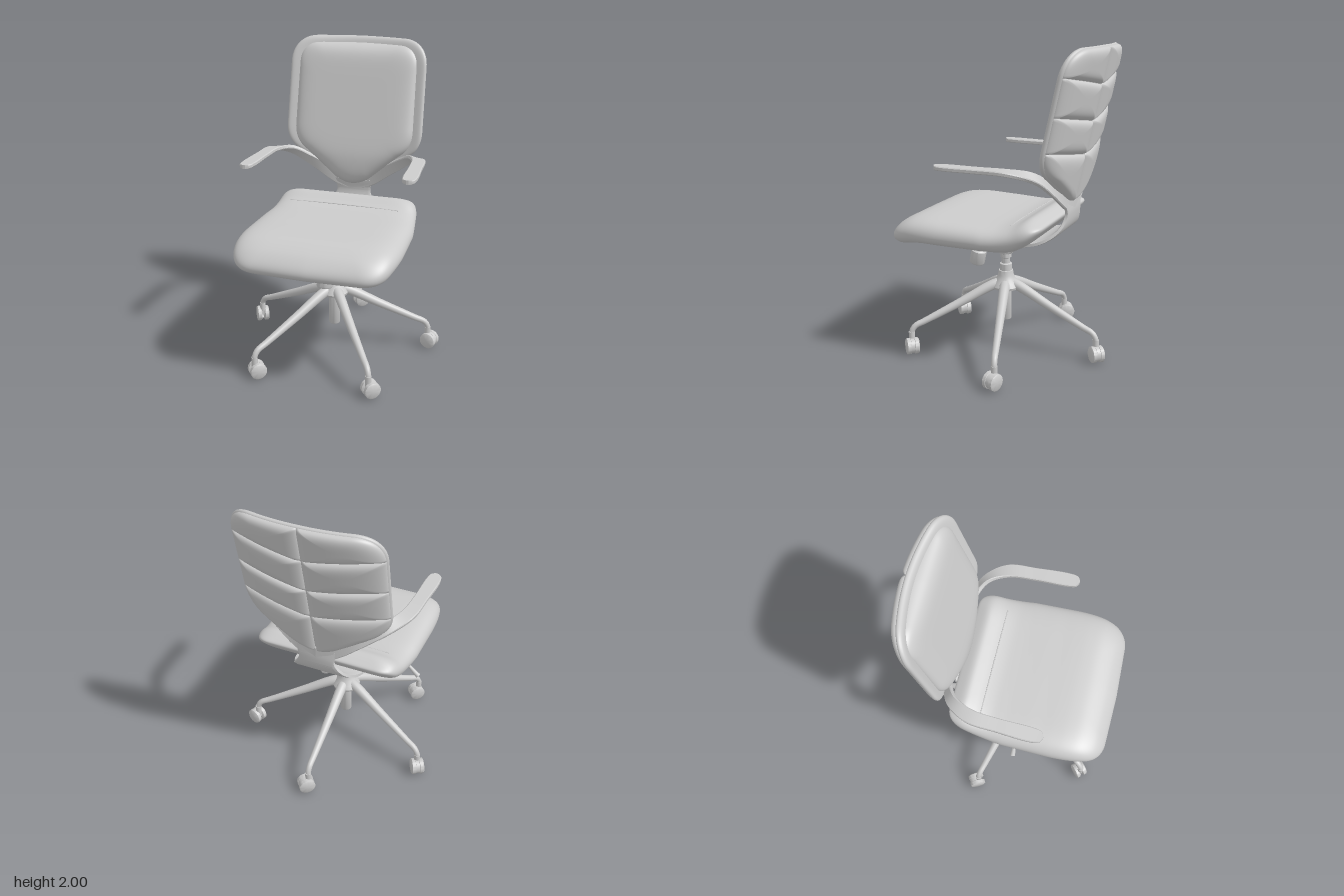
import * as THREE from 'three';
import { mergeVertices, toCreasedNormals } from 'three/addons/utils/BufferGeometryUtils.js';

const V = (x, y, z) => new THREE.Vector3(x, y, z);
const grey = new THREE.MeshStandardMaterial({ color: 0xcccccc, side: THREE.DoubleSide });

function add(parent, name, geometry, x = 0, y = 0, z = 0) {
  const mesh = new THREE.Mesh(geometry, grey);
  mesh.name = name;
  mesh.position.set(x, y, z);
  parent.add(mesh);
  return mesh;
}

function meshFrom(positions, index) {
  const g = new THREE.BufferGeometry();
  g.setAttribute('position', new THREE.Float32BufferAttribute(positions, 3));
  g.setIndex(index);
  return g;
}

// Mirrors the right half of an outline, drawn from bottom to top
function mirrored(half, n) {
  const right = half.getSpacedPoints(n);
  const left = right.slice(1, -1).reverse().map(p => new THREE.Vector2(-p.x, p.y));
  return right.concat(left);
}

// Cushion made of rings inside an outline; front and back give the height at (x, y, s), s = 1 on the rim
function pad(outline, cx, cy, rings, front, back) {
  const pos = [], idx = [], n = outline.length;
  [front, back].forEach((height, side) => {
    const base = pos.length / 3;
    for (let j = 0; j <= rings; j++) {
      const s = Math.sin(j / rings * Math.PI / 2);
      for (const p of outline) {
        const x = cx + (p.x - cx) * s, y = cy + (p.y - cy) * s;
        pos.push(x, y, height(x, y, s));
      }
    }
    for (let j = 0; j < rings; j++) for (let i = 0; i < n; i++) {
      const a = base + j * n + i, b = base + j * n + (i + 1) % n, c = a + n, d = b + n;
      if (side === 0) idx.push(a, c, d, a, d, b);
      else idx.push(a, d, c, a, b, d);
    }
  });
  const g = mergeVertices(meshFrom(pos, idx), 1e-5);
  g.computeVertexNormals();
  return g;
}

const puff = (s, p) => Math.sqrt(Math.max(0, 1 - Math.pow(s, p)));

// Flat band between two edge curves
function ribbon(edgeA, edgeB, thick, n = 48) {
  const A = new THREE.CatmullRomCurve3(edgeA), B = new THREE.CatmullRomCurve3(edgeB);
  const loop = [[0, .3], [0, -.3], [.06, -.5], [.94, -.5], [1, -.3], [1, .3], [.94, .5], [.06, .5]];
  const pos = [], idx = [], m = loop.length;
  for (let k = 0; k <= n; k++) {
    const a = A.getPoint(k / n), b = B.getPoint(k / n);
    const t = A.getTangent(k / n).add(B.getTangent(k / n));
    const normal = t.cross(b.clone().sub(a)).normalize();
    for (const [u, v] of loop) pos.push(...a.clone().lerp(b, u).addScaledVector(normal, v * thick).toArray());
  }
  for (let k = 0; k < n; k++) for (let i = 0; i < m; i++) {
    const a = k * m + i, b = k * m + (i + 1) % m;
    idx.push(a, b, b + m, a, b + m, a + m);
  }
  for (let i = 1; i < m - 1; i++) idx.push(0, i + 1, i, n * m, n * m + i, n * m + i + 1);
  return toCreasedNormals(meshFrom(pos, idx), 0.4);
}

// Round bar that tapers from r0 to r1
function taperedTube(points, r0, r1, n = 40, sides = 16) {
  const curve = new THREE.CatmullRomCurve3(points);
  const g = new THREE.TubeGeometry(curve, n, 1, sides);
  const p = g.attributes.position;
  for (let i = 0; i < p.count; i++) {
    const t = Math.floor(i / (sides + 1)) / n, c = curve.getPointAt(t);
    const v = V(0, 0, 0).fromBufferAttribute(p, i).sub(c).multiplyScalar(r0 + (r1 - r0) * t).add(c);
    p.setXYZ(i, v.x, v.y, v.z);
  }
  return g;
}

function lathe(profile) {
  const g = new THREE.LatheGeometry(profile.map(([r, y]) => new THREE.Vector2(r, y)), 32);
  return toCreasedNormals(g, 0.6);
}

// Right half of a shield with a rounded top corner and a V-shaped foot
function shield(w, top, bottom, r) {
  const half = new THREE.Path(), k = r * .4;
  half.moveTo(0, bottom);
  half.quadraticCurveTo(.05, bottom, .11, bottom + .035);
  half.lineTo(w - .09, 1.25);
  half.quadraticCurveTo(w, 1.31, w, 1.42);
  half.lineTo(w - .005, top - r);
  half.bezierCurveTo(w - .005, top - k, w - k, top - .003, w - r, top - .003);
  half.lineTo(0, top);
  return half;
}

// Keeps the part of a polygon where f >= 0
function clip(poly, f) {
  return poly.flatMap((p, i) => {
    const q = poly[(i + 1) % poly.length], a = f(p), b = f(q);
    const kept = a >= 0 ? [p] : [];
    if (a * b < 0) kept.push(p.clone().lerp(q, a / (a - b)));
    return kept;
  });
}

function createBackrest() {
  const group = new THREE.Group();
  group.name = 'backrest';
  const mid = (x, y) => -.395 - .215 * (y - 1.05) + .08 * (x / .46) ** 2;
  const face = y => -.295 - .13 * (y - 1.25 + Math.hypot(y - 1.25, .06));
  add(group, 'backrestShell', pad(mirrored(shield(.465, 2, 1.045, .17), 80), 0, 1.55, 24,
    (x, y, s) => mid(x, y) + .028 * puff(s, 30),
    (x, y, s) => mid(x, y) - .022 * puff(s, 30)));
  add(group, 'frontCushion', pad(mirrored(shield(.405, 1.96, 1.04, .13), 80), 0, 1.55, 36,
    (x, y, s) => mid(x, y) + .015 + (face(y) - mid(x, y) - .015) * puff(s, 11),
    (x, y) => mid(x, y) + .015));

  // Quilted rear: four rows of puffed panels between V-shaped seams
  const half = shield(.458, 1.992, 1.045, .165).getSpacedPoints(120);
  const seams = [2.1, 1.77, 1.55, 1.345, .9];
  const height = p => p.y - .07 * p.x / .46;
  for (let r = 0; r < 4; r++) {
    const row = clip(clip(half, p => seams[r] - height(p)), p => height(p) - seams[r + 1]);
    const closed = new THREE.Path().setFromPoints([...row, row[0]]);
    const points = closed.getSpacedPoints(100).slice(0, -1);
    const box = new THREE.Box2().setFromPoints(points), c = box.getCenter(new THREE.Vector2());
    for (const m of [1, -1]) {
      const outline = points.map(p => new THREE.Vector2(m * p.x, p.y));
      if (m < 0) outline.reverse();
      add(group, 'quiltPanel', pad(outline, m * c.x, c.y, 16,
        (x, y) => mid(x, y) - .012,
        (x, y, s) => mid(x, y) - .012 - .046 * puff(s, 4)));
    }
  }
  return group;
}

function createSeat() {
  const seat = new THREE.Group();
  seat.name = 'seat';
  const half = new THREE.Path();
  half.moveTo(0, -.665);
  half.lineTo(.34, -.655);
  half.quadraticCurveTo(.46, -.645, .49, -.52);
  half.quadraticCurveTo(.512, -.44, .512, -.3);
  half.lineTo(.505, 0);
  half.lineTo(.475, .24);
  half.quadraticCurveTo(.46, .36, .36, .36);
  half.lineTo(0, .36);
  // Heights sampled evenly from rear to front
  const along = values => {
    const c = new THREE.SplineCurve(values.map((v, i) => new THREE.Vector2(i, v)));
    return v => c.getPoint(THREE.MathUtils.clamp((.36 - v) / 1.025, 0, 1)).y;
  };
  const top = along([.99, 1.005, .965, .946, .943, .945, .948, .95, .953, .953, .945, .92, .885]);
  const rim = along([.95, .91, .88, .862, .855, .855, .855, .855, .855, .855, .85, .83, .805]);
  const low = along([.91, .845, .80, .787, .787, .787, .787, .787, .787, .785, .772, .75, .742]);
  const g = pad(mirrored(half, 90), 0, -.155, 40,
    (x, v, s) => rim(v) + (top(v) - rim(v)) * puff(s, 8),
    (x, v, s) => rim(v) + (low(v) - rim(v)) * puff(s, 12));
  add(seat, 'seatCushion', g.rotateX(-Math.PI / 2));
  // Stitched seam in front of the rear roll
  const y = top(.16) - .001;
  add(seat, 'seatSeam', taperedTube([V(-.37, y - .004, -.16), V(-.2, y, -.16), V(.2, y, -.16), V(.37, y - .004, -.16)], .004, .004, 20, 8));
  return seat;
}

function createCaster(fx, fz) {
  const caster = new THREE.Group();
  caster.name = 'caster';
  caster.rotation.y = Math.atan2(-fz, fx);
  for (const side of [-1, 1]) {
    const wheel = lathe([[0, -.017], [.044, -.017], [.053, -.011], [.053, .011], [.044, .017], [0, .017]]);
    add(caster, 'wheel', wheel.rotateX(Math.PI / 2), .016, .053, side * .025);
  }
  const hood = new THREE.CylinderGeometry(.05, .05, .024, 24, 1, false, 0, Math.PI * 1.1);
  add(caster, 'casterHood', hood.rotateX(Math.PI / 2).rotateZ(.2), .016, .055, 0);
  add(caster, 'casterStem', new THREE.CylinderGeometry(.02, .02, .09, 16), 0, .1, 0);
  return caster;
}

function createBase() {
  const base = new THREE.Group();
  base.name = 'base';
  base.position.z = .043;
  add(base, 'column', lathe([[0, .19], [.035, .19], [.038, .195], [.038, .42]]));
  add(base, 'hub', lathe([[0, .4], [.06, .4], [.09, .41], [.094, .425], [.08, .45], [.062, .475], [.052, .5], [.047, .53], [.02, .535]]));
  add(base, 'gasLift', lathe([[.04, .52], [.04, .575], [.028, .58], [.028, .615], [.036, .62], [.036, .645], [.048, .65], [.055, .69]]));
  const headings = [[.75, -.65], [.95, .3], [.75, -.65], [.75, -.65], [-.5, -.86]];
  headings.forEach(([fx, fz], k) => {
    const a = k * Math.PI * 2 / 5, dx = Math.sin(a), dz = -Math.cos(a);
    const path = [[.02, .447], [.09, .43], [.3, .328], [.54, .215], [.605, .185], [.628, .15], [.63, .115]];
    add(base, 'leg', taperedTube(path.map(([r, y]) => V(r * dx, y, r * dz)), .036, .017));
    const caster = createCaster(fx, fz);
    caster.position.set(.63 * dx, 0, .63 * dz);
    base.add(caster);
  });
  return base;
}

function createMechanism() {
  const group = new THREE.Group();
  group.name = 'tiltMechanism';
  const side = new THREE.Shape([[-.28, .785], [-.28, .768], [-.16, .718], [-.11, .682], [.03, .682], [.08, .72], [.2, .76], [.2, .785]]
    .map(p => new THREE.Vector2(...p)));
  const body = new THREE.ExtrudeGeometry(side, { depth: .19, bevelSize: .006, bevelThickness: .006, bevelSegments: 2 });
  add(group, 'housing', body.translate(0, 0, -.095).rotateY(Math.PI / 2));
  // Tension knob
  const knob = add(group, 'tensionKnob', lathe([[0, -.09], [.045, -.09], [.051, -.08], [.051, 0], [.045, .006], [.04, .01], [.046, .09], [0, .09]]), 0, .635, .238);
  knob.rotation.x = -.2;
  // Height lever
  add(group, 'lever', taperedTube([V(-.08, .713, .08), V(-.25, .711, .08), V(-.385, .71, .08), V(-.415, .7, .08), V(-.445, .67, .08)], .007, .007));
  add(group, 'leverPaddle', taperedTube([V(-.425, .69, .08), V(-.46, .655, .08), V(-.497, .62, .08)], .009, .017));
  return group;
}

export function createModel() {
  const chair = new THREE.Group();
  chair.name = 'officeChair';
  const all = new THREE.Group();
  all.name = 'chairParts';
  all.position.x = -.015;
  chair.add(all);
  all.add(createBase(), createMechanism(), createBackrest(), createSeat());

  // Curved spine from under the seat up to the arms
  const spine = [[-.405, 1.06, .14], [-.414, .98, .115], [-.385, .89, .16], [-.285, .815, .215], [-.13, .782, .235], [.1, .778, .22], [.27, .778, .17]];
  add(all, 'spine', ribbon(spine.map(([z, y, w]) => V(w, y, z)), spine.map(([z, y, w]) => V(-w, y, z)), .028));

  // Arms sweep out of the spine and turn forward into armrests
  const inner = [[0, 1.08, -.415], [.13, 1.13, -.4], [.27, 1.215, -.36], [.385, 1.285, -.29], [.445, 1.3, -.17], [.462, 1.3, 0], [.468, 1.3, .2], [.48, 1.3, .255], [.505, 1.3, .272]];
  const outer = [[0, .98, -.415], [.125, 1.02, -.408], [.28, 1.13, -.385], [.425, 1.235, -.335], [.525, 1.29, -.2], [.545, 1.297, 0], [.556, 1.298, .2], [.546, 1.299, .255], [.52, 1.3, .272]];
  for (const m of [1, -1]) {
    const edge = pts => pts.map(([x, y, z]) => V(m * x, y, z));
    add(all, m > 0 ? 'leftArm' : 'rightArm', ribbon(edge(inner), edge(outer), .026, 72));
  }
  return chair;
}
